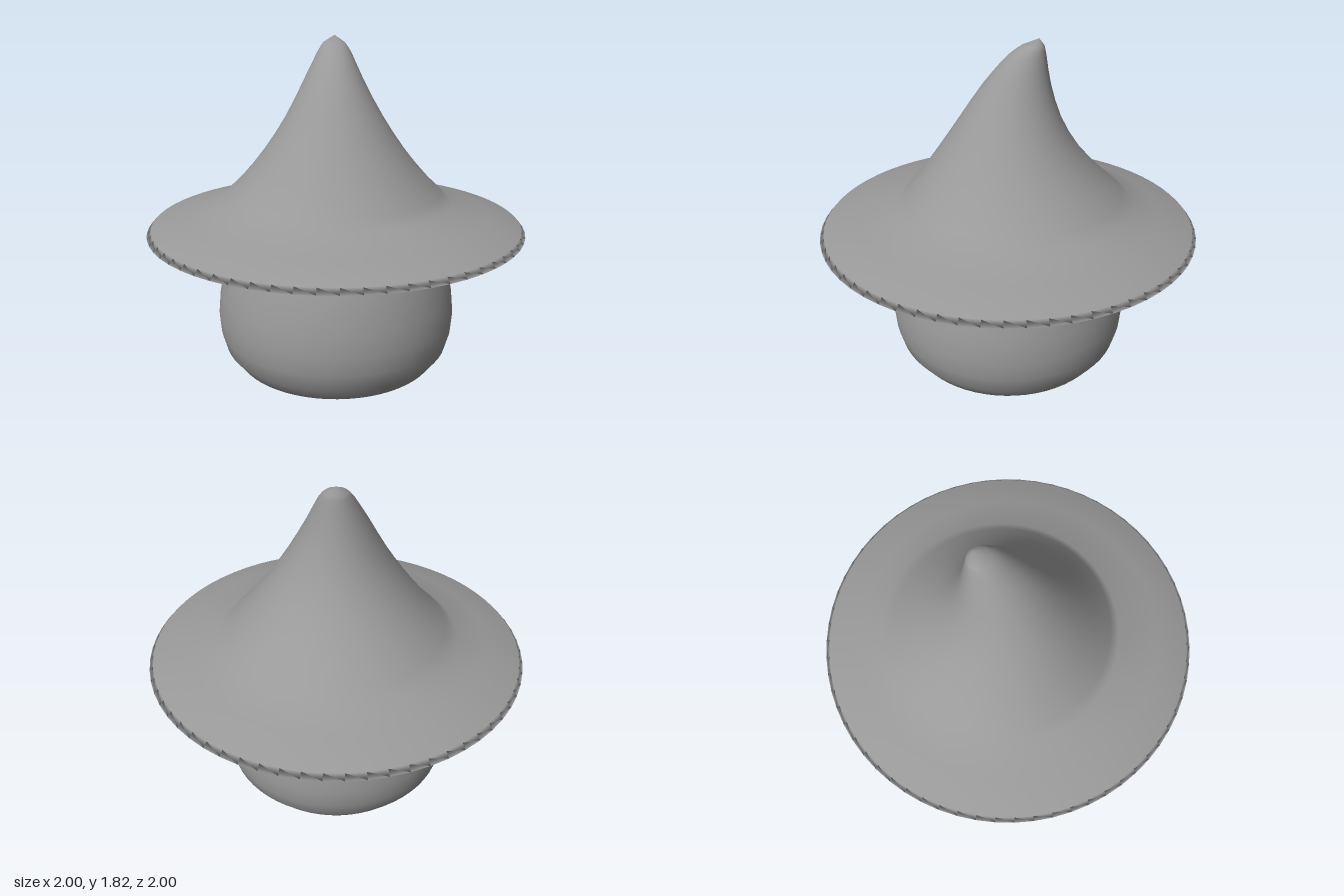
import * as THREE from 'three';
import { mergeVertices } from 'three/addons/utils/BufferGeometryUtils.js';

const SEGMENTS = 64;
const JOIN_Y = 0.825; // height where the body meets the underside of the brim

// Rings as [y, radius x, radius z, centre x, centre z]
const round = ([r, y]) => [y, r, r, 0, 0];

// Squat rounded body, bottom to top
const bodyRings = [
  [0, 0.002], [0.33, 0.01], [0.45, 0.033], [0.555, 0.09], [0.615, 0.17], [0.64, 0.26],
  [0.648, 0.36], [0.637, 0.47], [0.613, 0.59], [0.58, 0.705], [0.53, JOIN_Y],
].map(round);

// Wide brim: underside, bevelled rim, then the sloping top
const brimRings = [[0.78, 0.828], [0.998, 0.84], [0.975, 0.866], [0.8, 0.918]].map(round);

// Pointed crown, bending back towards its tip
const crownRings = [
  [0.967, 0.631, 0.63, -0.003, -0.04],
  [1.083, 0.507, 0.513, -0.003, -0.023],
  [1.243, 0.373, 0.377, -0.007, -0.006],
  [1.42, 0.254, 0.262, -0.006, -0.013],
  [1.6, 0.157, 0.17, -0.002, -0.046],
  [1.74, 0.089, 0.096, 0.011, -0.093],
  [1.79, 0.056, 0.055, 0.016, -0.122],
];
const tipRing = [1.825, 0, 0, 0.025, -0.15];

// Adds smooth in-between rings along the crown
function smoothRings(rings, count) {
  const curve = (pick) => new THREE.CatmullRomCurve3(rings.map(pick), false, 'catmullrom', 0.5);
  const radii = curve((r) => new THREE.Vector3(r[1], r[0], r[2]));
  const centres = curve((r) => new THREE.Vector3(r[3], r[0], r[4]));
  return Array.from({ length: count + 1 }, (_, i) => {
    const a = radii.getPoint(i / count), c = centres.getPoint(i / count);
    return [a.y, a.x, a.z, c.x, c.z];
  });
}

// Lathe whose rings are then stretched and shifted one by one
function buildSurface(rings) {
  const lathe = new THREE.LatheGeometry(rings.map((r) => new THREE.Vector2(r[1], r[0])), SEGMENTS);
  const pos = lathe.attributes.position;
  for (let i = 0; i < pos.count; i++) {
    const [, rx, rz, cx, cz] = rings[i % rings.length];
    pos.setX(i, pos.getX(i) + cx);
    pos.setZ(i, pos.getZ(i) * (rx > 0 ? rz / rx : 1) + cz);
  }
  lathe.deleteAttribute('uv');
  lathe.deleteAttribute('normal');
  const merged = mergeVertices(lathe, 1e-5);
  merged.computeVertexNormals();
  return merged;
}

// Keeps the triangles whose middle height passes the test
function pickTriangles(geometry, test) {
  const pos = geometry.attributes.position, index = geometry.index.array, kept = [];
  for (let i = 0; i < index.length; i += 3) {
    const [a, b, c] = index.slice(i, i + 3);
    if (a === b || b === c || c === a) continue;
    if (test((pos.getY(a) + pos.getY(b) + pos.getY(c)) / 3)) kept.push(a, b, c);
  }
  const part = geometry.clone();
  part.setIndex(kept);
  return part;
}

export function createModel() {
  const group = new THREE.Group();
  group.name = 'bodyWithPointedHat';
  const material = new THREE.MeshStandardMaterial({ color: 0x999999 });
  const surface = buildSurface([...bodyRings, ...brimRings, ...smoothRings(crownRings, 12), tipRing]);

  // Shared normals keep the shading soft where hat and body meet
  const body = new THREE.Mesh(pickTriangles(surface, (y) => y < JOIN_Y), material);
  body.name = 'body';
  const hat = new THREE.Mesh(pickTriangles(surface, (y) => y >= JOIN_Y), material);
  hat.name = 'hat';
  group.add(body, hat);
  return group;
}
